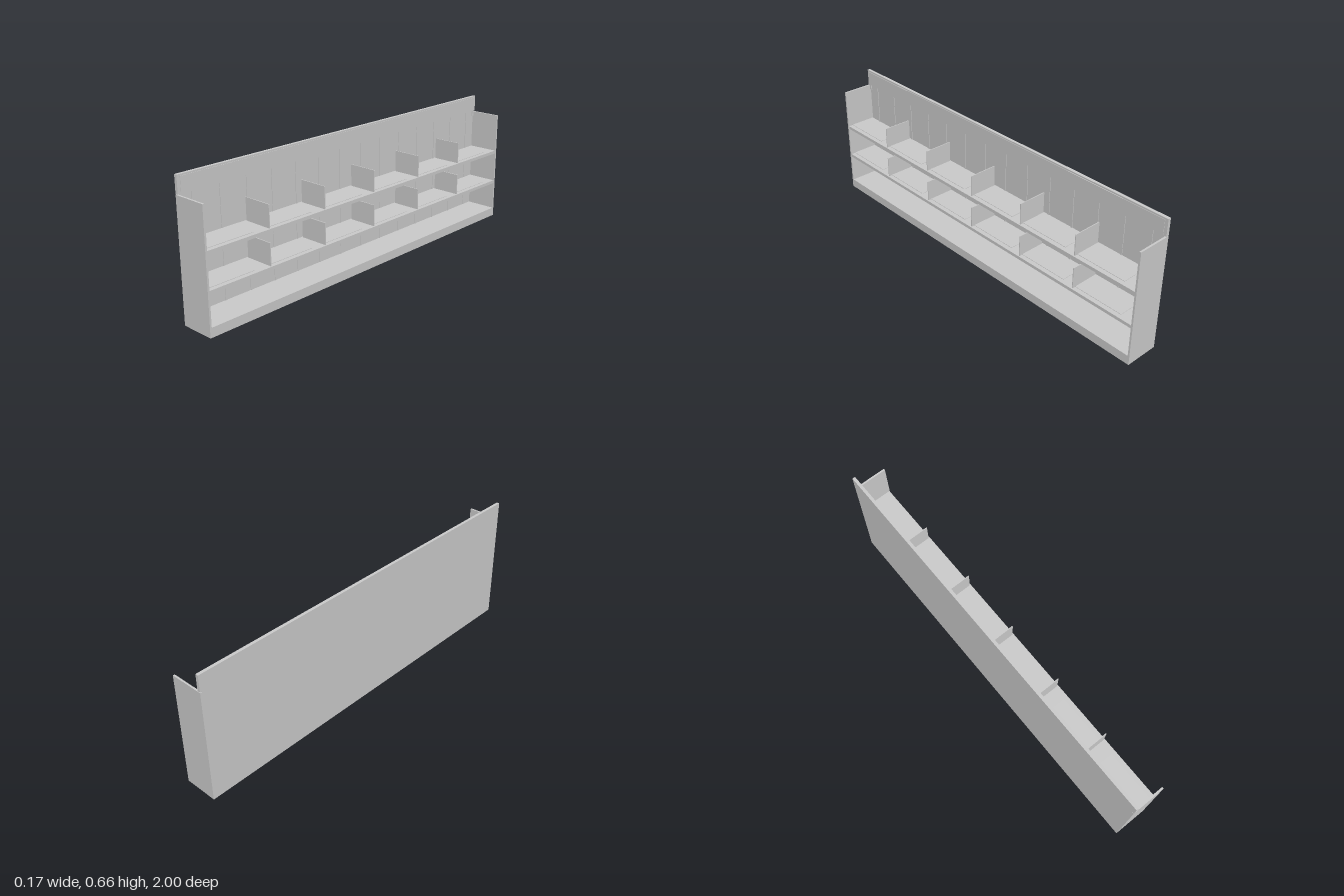
import * as THREE from 'three';

export function createModel() {
  const group = new THREE.Group();
  group.name = 'shelfUnit';
  const material = new THREE.MeshStandardMaterial({ color: 0xcccccc });

  // Box given by its lower and upper limits on each axis
  const box = (name, [x0, x1], [y0, y1], [z0, z1]) => {
    const mesh = new THREE.Mesh(new THREE.BoxGeometry(x1 - x0, y1 - y0, z1 - z0), material);
    mesh.position.set((x0 + x1) / 2, (y0 + y1) / 2, (z0 + z1) / 2);
    mesh.name = name;
    group.add(mesh);
  };

  const back = -0.085, front = 0.085, recess = -0.076, headFront = -0.07;
  const inner = 0.991;

  // Back board, header and its thin sign plate
  box('backBoard', [back, recess], [0, 0.577], [-inner, inner]);
  box('header', [back, headFront], [0.577, 0.66], [-1, 1]);
  box('headerPlate', [headFront, -0.068], [0.582, 0.652], [-0.985, 0.985]);

  // End panels with the small brackets under the header
  for (const s of [-1, 1]) {
    const span = (a, b) => [Math.min(s * a, s * b), Math.max(s * a, s * b)];
    box('endPanel', [back, front], [0, 0.574], span(inner, 1));
    box('headerBracket', [recess, headFront], [0.55, 0.577], span(0.979, inner));
  }

  // Vertical battens on the back board
  for (let i = 0; i < 14; i++) {
    const z = (i - 6.5) / 7;
    box('batten', [recess, -0.073], [0.045, 0.577], [z - 0.004, z + 0.004]);
  }

  // Base plinth
  box('base', [recess, front], [0, 0.045], [-inner, inner]);

  // Two shelves, each with dividers and their flat feet
  for (const [bottom, top, dividerTop] of [[0.19, 0.206, 0.312], [0.361, 0.377, 0.484]]) {
    box('shelf', [recess, 0.083], [bottom, top], [-inner, inner]);
    for (let i = 0; i < 6; i++) {
      const z = i === 0 ? inner : 0.985 - i * 0.3285;
      if (i > 0) box('divider', [headFront, 0.077], [top, dividerTop], [z - 0.002, z + 0.002]);
      box('dividerFoot', [headFront, 0.06], [top, top + 0.002], [z - 0.26, z]);
    }
  }

  return group;
}
